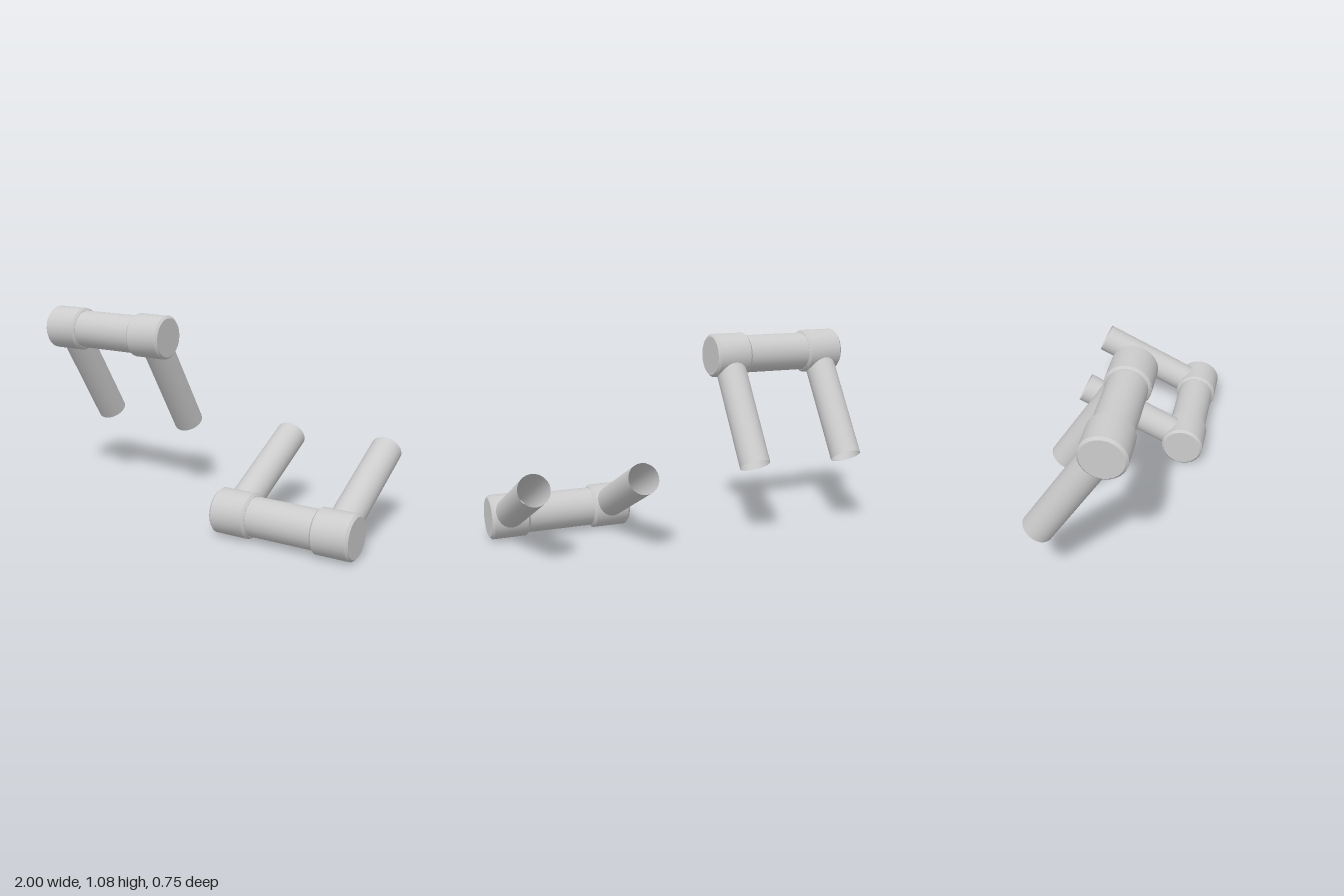
import * as THREE from 'three';
import { toCreasedNormals } from 'three/addons/utils/BufferGeometryUtils.js';

const material = new THREE.MeshStandardMaterial({ color: 0xcccccc });
const tubeMaterial = new THREE.MeshStandardMaterial({ color: 0xcccccc, side: THREE.DoubleSide });

const SIDES = 24;
const COLLAR_R = 0.12, COLLAR_W = 0.207, BEVEL = 0.013;
const BAR_R = 0.105, TUBE_R = 0.083, OFFSET = 0.284;

// Bevelled drum lying along x
function collarGeometry() {
  const h = COLLAR_W / 2, r = COLLAR_R;
  const profile = [[0, -h], [r - BEVEL, -h], [r, -h + BEVEL], [r, h - BEVEL], [r - BEVEL, h], [0, h]]
    .map(([x, y]) => new THREE.Vector2(x, y));
  const geometry = new THREE.LatheGeometry(profile, SIDES).rotateZ(-Math.PI / 2);
  return toCreasedNormals(geometry, 0.6);
}

// Bar with two collars, and an open tube running back from each collar.
// tip is the tube's end relative to the bar's centre, in the yz plane.
function createHandle(name, position, tip) {
  const handle = new THREE.Group();
  handle.name = name;
  handle.position.copy(position);

  const add = (geometry, mat, part) => {
    const mesh = new THREE.Mesh(geometry, mat);
    mesh.name = part;
    handle.add(mesh);
    return mesh;
  };

  // Grip bar between the collars
  const barLength = 2 * OFFSET - COLLAR_W + 0.02;
  add(new THREE.CylinderGeometry(BAR_R, BAR_R, barLength, SIDES).rotateZ(Math.PI / 2), material, 'gripBar');

  const up = new THREE.Vector3(0, 1, 0);
  for (const side of [-1, 1]) {
    const label = side > 0 ? 'left' : 'right';
    add(collarGeometry(), material, label + 'Collar').position.x = side * OFFSET;

    // Open-ended tube from the collar's axis to the tip
    const length = tip.length();
    const geometry = new THREE.CylinderGeometry(TUBE_R, TUBE_R, length, SIDES, 1, true)
      .translate(0, length / 2, 0);
    const tube = add(geometry, tubeMaterial, label + 'Tube');
    tube.position.x = side * OFFSET;
    tube.quaternion.setFromUnitVectors(up, tip.clone().normalize());
  }
  return handle;
}

export function createModel() {
  const model = new THREE.Group();
  model.name = 'handlePair';
  model.add(
    createHandle('upperHandle', new THREE.Vector3(-0.6125, 0.957, 0.06), new THREE.Vector3(0, -0.555, -0.351)),
    createHandle('lowerHandle', new THREE.Vector3(0.6125, 0.12, 0.253), new THREE.Vector3(0, 0.285, -0.591))
  );
  return model;
}
